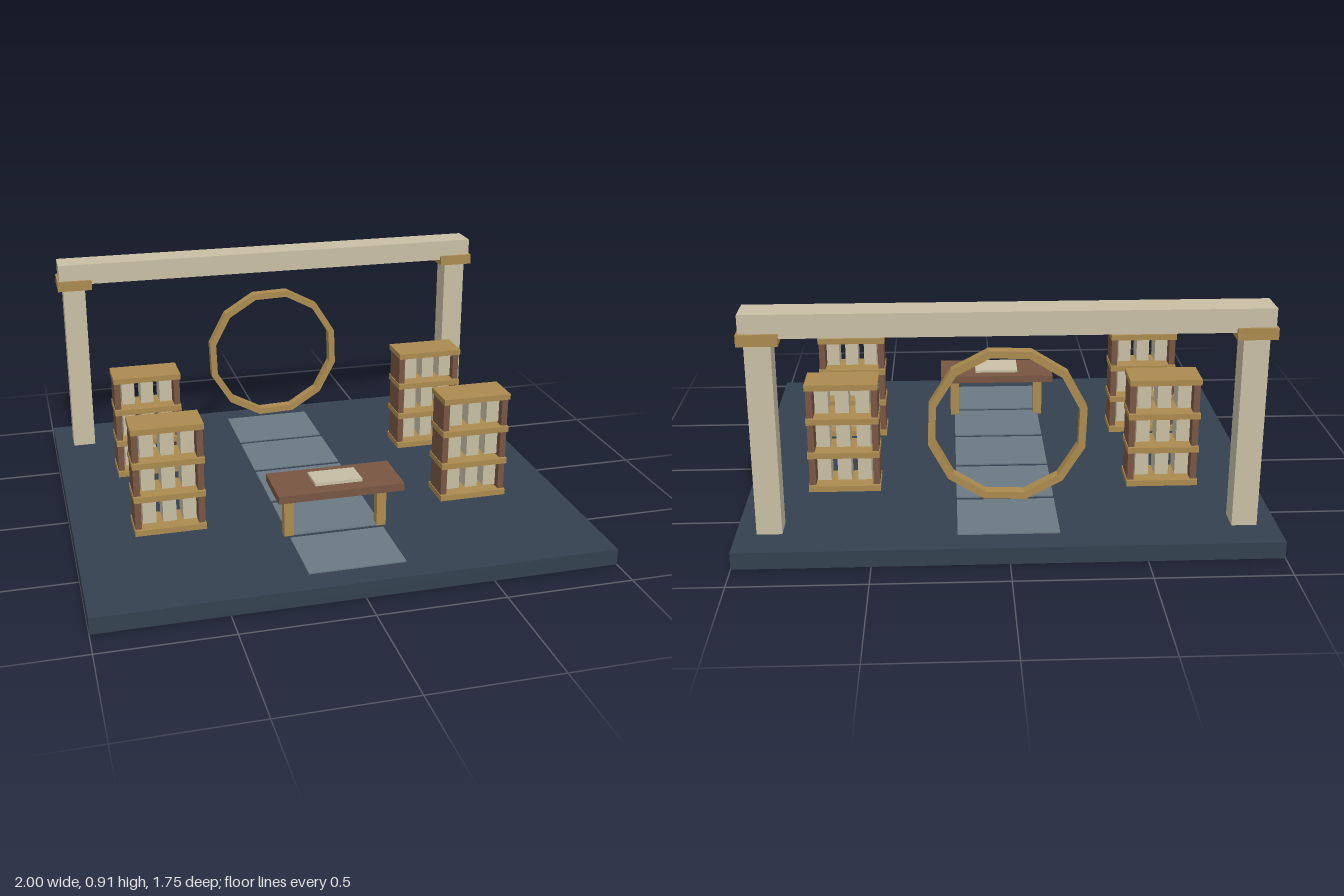
import * as THREE from 'three';

const mat = (name, color) => {
  const m = new THREE.MeshStandardMaterial({ color });
  m.name = name;
  return m;
};

export function createModel() {
  const slate = mat('slate', 0x344150);
  const paving = mat('paving', 0x6b7b83);
  const gold = mat('gold', 0xab8b4f);
  const wood = mat('wood', 0x785641);
  const pale = mat('pale', 0xc8bfa4);

  const model = new THREE.Group();
  model.name = 'studyPavilion';

  // Box given by its size and centre
  const box = (parent, name, material, size, pos) => {
    const mesh = new THREE.Mesh(new THREE.BoxGeometry(...size), material);
    mesh.name = name;
    mesh.position.set(...pos);
    parent.add(mesh);
    return mesh;
  };
  const group = (name, x, y, z) => {
    const g = new THREE.Group();
    g.name = name;
    g.position.set(x, y, z);
    model.add(g);
    return g;
  };

  // Floor and paved path
  const floorTop = 0.065;
  box(model, 'floor', slate, [2, floorTop, 1.75], [0, floorTop / 2, 0]);
  for (let i = -2; i <= 2; i++) {
    box(model, 'pathSlab', paving, [0.376, 0.012, 0.288], [0, 0.064, i * 0.3125]);
  }

  // Gateway: two posts with caps, and a beam
  const gate = group('gateway', 0, 0, -0.686);
  for (const s of [-1, 1]) {
    box(gate, 'post', pale, [0.094, 0.745, 0.094], [s * 0.876, 0.4375, 0]);
    box(gate, 'postCap', gold, [0.146, 0.043, 0.146], [s * 0.873, 0.819, 0]);
  }
  box(gate, 'beam', pale, [1.876, 0.088, 0.126], [0, 0.866, 0]);

  // Twelve-sided ring
  const ring = group('moonRing', 0, 0.44, -0.625);
  const polygon = (path, r) => {
    path.setFromPoints(Array.from({ length: 12 }, (_, i) => {
      const a = (17 + i * 30) * Math.PI / 180;
      return new THREE.Vector2(Math.cos(a) * r, Math.sin(a) * r);
    }));
    path.closePath();
    return path;
  };
  const outline = polygon(new THREE.Shape(), 0.3);
  outline.holes.push(polygon(new THREE.Path(), 0.272));
  const ringMesh = new THREE.Mesh(
    new THREE.ExtrudeGeometry(outline, { depth: 0.044, bevelEnabled: false }), gold);
  ringMesh.name = 'ringFrame';
  ringMesh.position.z = -0.022;
  ring.add(ringMesh);

  // Four open bookcases
  for (const x of [-0.626, 0.626]) {
    for (const z of [-0.312, 0.251]) {
      const shelf = group('bookcase', x, 0, z);
      for (const s of [-1, 1]) {
        box(shelf, 'sidePanel', wood, [0.025, 0.438, 0.122], [s * 0.125, 0.284, 0]);
      }
      for (let i = 0; i < 4; i++) {
        box(shelf, 'board', gold, [0.281, 0.0235, 0.15], [0, 0.081 + i * 0.1407, 0]);
      }
      for (let row = 0; row < 3; row++) {
        for (let col = -1; col <= 1; col++) {
          box(shelf, 'book', pale, [0.053, 0.098, 0.09],
            [col * 0.079, 0.156 + row * 0.1407, 0]);
        }
      }
    }
  }

  // Reading table with a slightly tilted open page
  const table = group('table', 0, 0, 0.439);
  box(table, 'tableTop', wood, [0.496, 0.031, 0.218], [0, 0.266, 0]);
  for (const s of [-1, 1]) {
    box(table, 'tableLeg', gold, [0.038, 0.19, 0.038], [s * 0.187, 0.158, 0]);
  }
  box(table, 'page', pale, [0.187, 0.012, 0.124], [0, 0.289, 0]).rotation.x = -0.06;

  return model;
}
